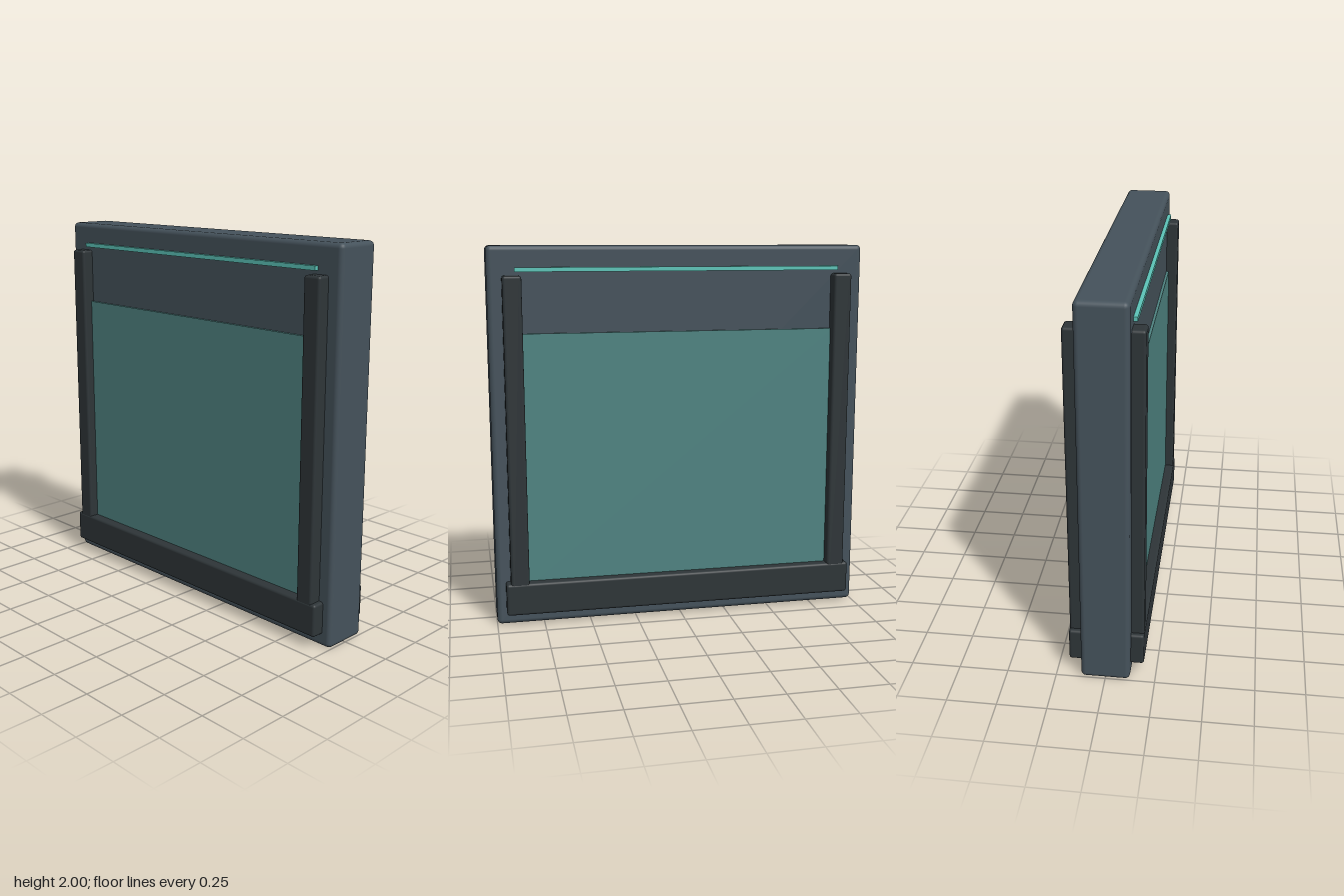
import * as THREE from 'three';
import { RoundedBoxGeometry } from 'three/addons/geometries/RoundedBoxGeometry.js';

export function createModel() {
  const model = new THREE.Group();
  const slabMat = new THREE.MeshStandardMaterial({ color: 0x45525b });
  const trimMat = new THREE.MeshStandardMaterial({ color: 0x2e3538 });
  const panelMat = new THREE.MeshStandardMaterial({ color: 0x4f8482 });
  const stripMat = new THREE.MeshStandardMaterial({ color: 0x5cc4b8 });

  // Box given by its extents; radius 0 leaves sharp edges
  function box(name, parent, mat, [x0, x1], [y0, y1], [z0, z1], radius = 0) {
    const size = [x1 - x0, y1 - y0, z1 - z0];
    const geo = radius
      ? new RoundedBoxGeometry(...size, 3, radius)
      : new THREE.BoxGeometry(...size);
    const mesh = new THREE.Mesh(geo, mat);
    mesh.name = name;
    mesh.position.set((x0 + x1) / 2, (y0 + y1) / 2, (z0 + z1) / 2);
    parent.add(mesh);
  }

  // Main slab
  box('slab', model, slabMat, [-1, 1], [0, 2], [-0.124, 0.124], 0.025);

  // Both faces carry the same frame, panel and light strip
  for (const side of ['front', 'back']) {
    const face = new THREE.Group();
    face.name = side + 'Face';
    if (side === 'back') face.rotation.y = Math.PI;

    box('panel', face, panelMat, [-0.84, 0.84], [0.2, 1.555], [0.1, 0.138]);
    box('lightStrip', face, stripMat, [-0.86, 0.86], [1.868, 1.89], [0.115, 0.144]);
    box('rightRail', face, trimMat, [-0.925, -0.828], [0.1, 1.85], [0.09, 0.188], 0.014);
    box('leftRail', face, trimMat, [0.828, 0.925], [0.1, 1.85], [0.09, 0.188], 0.014);
    box('bottomBar', face, trimMat, [-0.95, 0.95], [0.068, 0.24], [0.09, 0.19], 0.014);
    model.add(face);
  }
  return model;
}
